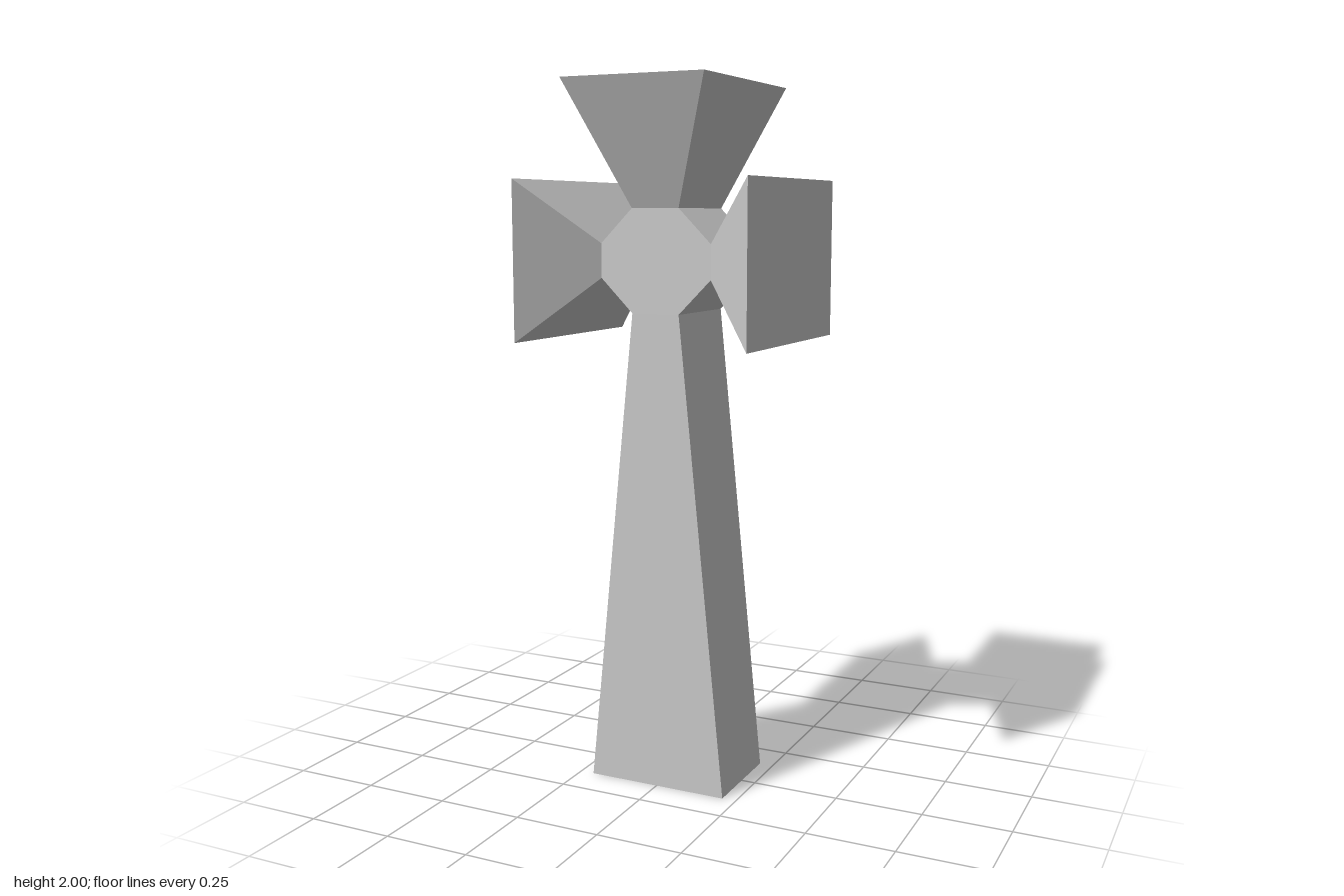
import * as THREE from 'three';

const HUB_Y = 1.513;
const HALF_DEPTH = 0.142;

// Box standing on y = 0 whose half width and half depth change from bottom to top
function taperedBlock(name, height, [w0, d0], [w1, d1], material) {
  const geometry = new THREE.BoxGeometry(2, height, 2).translate(0, height / 2, 0);
  const p = geometry.attributes.position;
  for (let i = 0; i < p.count; i++) {
    const top = p.getY(i) > height / 2;
    p.setX(i, p.getX(i) * (top ? w1 : w0));
    p.setZ(i, p.getZ(i) * (top ? d1 : d0));
  }
  geometry.computeVertexNormals();
  const mesh = new THREE.Mesh(geometry, material);
  mesh.name = name;
  return mesh;
}

export function createModel() {
  const group = new THREE.Group();
  group.name = 'flaredCross';
  const material = new THREE.MeshStandardMaterial({ color: 0xcccccc, flatShading: true });

  // Shaft narrowing up to the hub
  group.add(taperedBlock('shaft', 1.369, [0.209, HALF_DEPTH], [0.071, HALF_DEPTH], material));

  // Eight-sided hub
  const outline = [
    [0.071, -0.144], [0.167, -0.048], [0.167, 0.048], [0.071, 0.144],
    [-0.071, 0.144], [-0.167, 0.048], [-0.167, -0.048], [-0.071, -0.144],
  ].map(([x, y]) => new THREE.Vector2(x, y));
  const hubGeometry = new THREE.ExtrudeGeometry(new THREE.Shape(outline), {
    depth: HALF_DEPTH * 2,
    bevelEnabled: false,
  }).translate(0, 0, -HALF_DEPTH);
  const hub = new THREE.Mesh(hubGeometry, material);
  hub.name = 'hub';
  hub.position.y = HUB_Y;
  group.add(hub);

  // Head flaring out to the top
  const head = taperedBlock('head', 0.343, [0.071, HALF_DEPTH], [0.211, 0.285], material);
  head.position.y = 1.657;
  group.add(head);

  // Mirrored side arms flaring outward
  for (const side of [1, -1]) {
    const name = side > 0 ? 'leftArm' : 'rightArm';
    const arm = taperedBlock(name, 0.179, [0.048, HALF_DEPTH], [0.223, 0.317], material);
    arm.position.set(side * 0.167, HUB_Y, 0);
    arm.rotation.z = -side * Math.PI / 2;
    group.add(arm);
  }

  return group;
}
